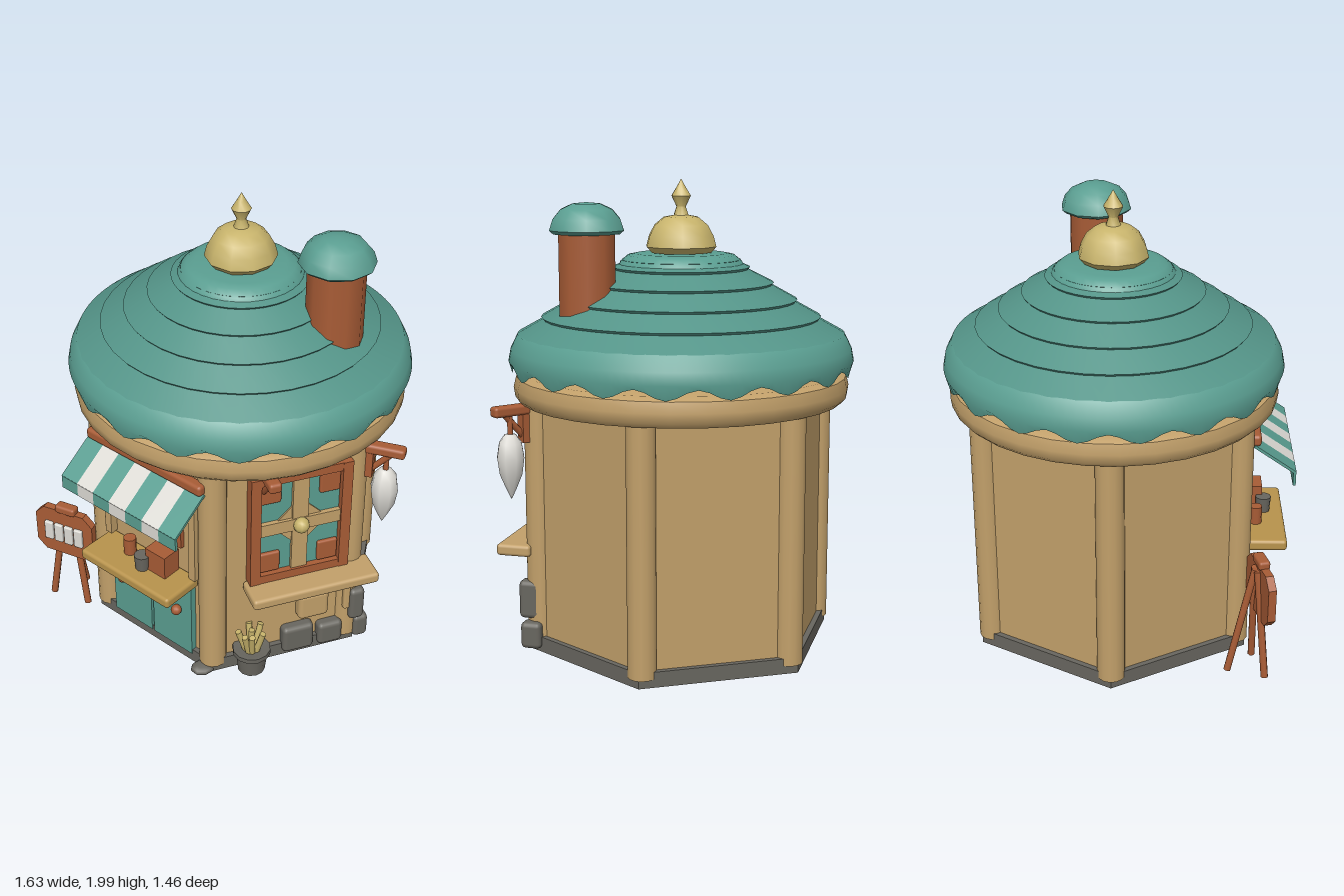
import * as THREE from 'three';
import { toCreasedNormals } from 'three/addons/utils/BufferGeometryUtils.js';
import { RoundedBoxGeometry } from 'three/addons/geometries/RoundedBoxGeometry.js';

const CX = 0.075; // building axis

function mat(name, color, side = THREE.FrontSide) {
  const m = new THREE.MeshStandardMaterial({ color, side });
  m.name = name;
  return m;
}

export function createModel() {
  const root = new THREE.Group();
  root.name = 'hexagonalShop';
  const sand = mat('sandPlaster', 0xc2a06a);
  const teal = mat('teal', 0x5a9e91, THREE.DoubleSide);
  const roofTeal = mat('roofTeal', 0x549488, THREE.DoubleSide);
  const wood = mat('redWood', 0xa85c36);
  const gold = mat('paleGold', 0xc8b46c);
  const stone = mat('greyStone', 0x68665f);
  const white = mat('offWhite', 0xdedcd6);
  const plank = mat('yellowWood', 0xb8934c);

  const add = (parent, name, geo, m, x = 0, y = 0, z = 0) => {
    const mesh = new THREE.Mesh(geo, m);
    mesh.name = name;
    mesh.position.set(x, y, z);
    parent.add(mesh);
    return mesh;
  };
  const group = (parent, name, x = 0, y = 0, z = 0, ry = 0) => {
    const g = new THREE.Group();
    g.name = name;
    g.position.set(x, y, z);
    g.rotation.y = ry;
    parent.add(g);
    return g;
  };
  const box = (p, name, m, w, h, d, x, y, z) => add(p, name, new THREE.BoxGeometry(w, h, d), m, x, y, z);
  const soft = (p, name, m, w, h, d, x, y, z) =>
    add(p, name, new RoundedBoxGeometry(w, h, d, 2, Math.min(w, h, d) * 0.3), m, x, y, z);
  const lathe = (pts, seg, crease = 0.6) =>
    toCreasedNormals(new THREE.LatheGeometry(pts.map(([r, y]) => new THREE.Vector2(r, y)), seg), crease);
  // round rod between two points
  const rod = (p, name, m, a, b, r) => {
    const A = new THREE.Vector3(...a), B = new THREE.Vector3(...b), d = B.clone().sub(A);
    const mesh = add(p, name, new THREE.CylinderGeometry(r, r, d.length(), 8), m);
    mesh.position.copy(A).add(B).multiplyScalar(0.5);
    mesh.quaternion.setFromUnitVectors(new THREE.Vector3(0, 1, 0), d.normalize());
    return mesh;
  };
  // six-sided prism with corners on the x axis
  const hex = (R, h) => toCreasedNormals(new THREE.CylinderGeometry(R, R, h, 6).rotateY(Math.PI / 6 * 3), 0.3);

  // ---- Base, walls, posts, ring beam
  const body = group(root, 'body', CX, 0, 0);
  add(body, 'base', hex(0.672, 0.065), stone, 0, 0.048, 0);
  add(body, 'walls', hex(0.645, 1.1), sand, 0, 0.63, 0);
  for (let i = 0; i < 6; i++) {
    const a = i * Math.PI / 3;
    add(body, 'cornerPost', new THREE.CylinderGeometry(0.06, 0.06, 1.06, 14), sand,
      0.618 * Math.cos(a), 0.58, 0.618 * Math.sin(a));
  }
  add(body, 'ringBeam', lathe([[0, 1.09], [0.6, 1.08], [0.685, 1.08], [0.705, 1.1], [0.711, 1.14],
    [0.7, 1.185], [0.67, 1.2], [0, 1.2]], 32, 0.7), sand);

  // ---- Roof: stepped tiers, crown and scalloped eave
  const roof = group(root, 'roof', CX, 0, 0);
  const tiers = [[0.69, 1.355], [0.59, 1.425], [0.49, 1.495], [0.39, 1.565], [0.29, 1.63], [0.25, 1.66]];
  const steps = [];
  tiers.forEach(([r, y], i) => {
    if (i) steps.push([r - 0.008, y - 0.004]);
    steps.push([r, y + 0.006]);
  });
  add(roof, 'roofTiers', lathe(steps, 36, 0.5), roofTeal);
  add(roof, 'roofCrown', lathe([[0.265, 1.64], [0.255, 1.66], [0.225, 1.685], [0.19, 1.692], [0, 1.692]], 32, 0.9), teal);
  const eave = new THREE.LatheGeometry([[0.715, 1.19], [0.73, 1.25], [0.72, 1.3], [0.69, 1.361], [0.66, 1.37]]
    .map(([r, y]) => new THREE.Vector2(r, y)), 108);
  const ep = eave.attributes.position;
  for (let i = 0; i < ep.count; i++) {
    if (ep.getY(i) > 1.2) continue;
    const a = Math.atan2(ep.getX(i), ep.getZ(i));
    ep.setY(i, 1.19 + 0.042 * (0.5 - 0.5 * Math.cos(18 * a)));
  }
  add(roof, 'scallopedEave', eave, teal);
  add(roof, 'finial', lathe([[0, 1.69], [0.13, 1.695], [0.152, 1.72], [0.14, 1.765], [0.115, 1.81], [0.075, 1.842],
    [0.032, 1.85], [0.02, 1.885], [0.042, 1.93], [0.02, 1.965], [0, 2.0]], 10, 0.8), gold);

  // ---- Chimney
  const chimney = group(root, 'chimney', 0.362, 0, 0.32);
  add(chimney, 'chimneyStack', new THREE.CylinderGeometry(0.12, 0.12, 0.36, 10), wood, 0, 1.62, 0);
  add(chimney, 'chimneyCap', lathe([[0, 1.79], [0.14, 1.785], [0.158, 1.8], [0.143, 1.845], [0.11, 1.883],
    [0.06, 1.906], [0, 1.912]], 10, 0.8), teal);

  // ---- Front window with patterned shutter
  const win = group(root, 'frontWindow', 0.13, 0.757, 0.56);
  box(win, 'panes', teal, 0.38, 0.49, 0.03, 0, 0, 0.005);
  for (const s of [-1, 1]) {
    box(win, 'frameSide', wood, 0.045, 0.55, 0.07, s * 0.2, 0, 0.015);
    box(win, 'frameRail', wood, 0.44, 0.04, 0.065, 0, s * 0.255, 0.015);
    for (const t of [-1, 1]) soft(win, 'cornerBlock', wood, 0.09, 0.1, 0.03, s * 0.13, t * 0.18, 0.02);
  }
  const diamond = new THREE.CylinderGeometry(0.125, 0.125, 0.012, 4).rotateX(Math.PI / 2);
  add(win, 'diamond', diamond, sand, 0, 0, 0.022);
  box(win, 'uprightBar', sand, 0.07, 0.48, 0.03, 0, 0, 0.022);
  box(win, 'crossBar', sand, 0.36, 0.06, 0.03, 0, 0, 0.026);
  add(win, 'windowKnob', new THREE.SphereGeometry(0.035, 10, 8), gold, 0, 0, 0.05);
  soft(root, 'windowSill', sand, 0.57, 0.05, 0.15, 0.175, 0.455, 0.635);

  // ---- Brackets and hanging lantern
  const bracket = (name, x, z, ry) => {
    const g = group(root, name, x, 0, z, ry);
    box(g, 'wallPlate', wood, 0.045, 0.15, 0.03, 0, 1.0, 0.01);
    soft(g, 'arm', wood, 0.055, 0.045, 0.17, 0, 1.065, 0.07);
    rod(g, 'brace', wood, [0, 0.95, 0.01], [0, 1.05, 0.1], 0.014);
  };
  bracket('leftBracket', -0.032, 0.57, 0);
  bracket('rightBracket', 0.43, 0.575, 0.9);
  const lantern = group(root, 'lantern', 0.492, 0, 0.62);
  rod(lantern, 'hanger', wood, [0, 0.95, 0], [0, 1.06, 0], 0.012);
  add(lantern, 'lanternShade', lathe([[0, 0.69], [0.022, 0.735], [0.05, 0.8], [0.06, 0.87], [0.05, 0.93],
    [0.025, 0.965], [0, 0.968]], 8, 1), white);

  // ---- Wall stones: x, y, width, height, material
  for (const [x, y, w, h, m] of [
    [0.21, 0.277, 0.14, 0.135, sand], [0.345, 0.385, 0.085, 0.08, sand], [0.115, 0.41, 0.08, 0.06, stone],
    [0.143, 0.103, 0.145, 0.135, stone], [0.295, 0.09, 0.115, 0.115, stone], [0.365, 0.28, 0.03, 0.13, sand],
  ]) soft(root, 'wallStone', m, w, h, 0.07, x, y, 0.57);
  soft(root, 'cornerStone', stone, 0.07, 0.165, 0.09, 0.41, 0.237, 0.575);
  soft(root, 'cornerStone', stone, 0.07, 0.115, 0.09, 0.44, 0.088, 0.56);
  const pebble = add(root, 'groundStone', new THREE.SphereGeometry(0.055, 8, 6), stone, -0.29, 0.03, 0.56);
  pebble.scale.set(1, 0.4, 0.8);

  // ---- Potted plant
  const pot = group(root, 'pottedPlant', -0.083, 0, 0.612);
  add(pot, 'pot', lathe([[0, 0.018], [0.06, 0.018], [0.07, 0.11], [0.083, 0.112], [0.083, 0.135], [0.065, 0.135], [0, 0.115]], 12), stone);
  for (let i = 0; i < 7; i++) {
    const a = i * 2.4, r = i ? 0.05 : 0;
    rod(pot, 'stalk', gold, [r * 0.4 * Math.cos(a), 0.11, r * 0.4 * Math.sin(a)],
      [r * 1.2 * Math.cos(a), 0.235, r * Math.sin(a)], 0.014);
  }

  // ---- Serving side: local z points out of the wall
  const shop = group(root, 'servingSide', CX, 0, 0, -Math.PI / 3);
  for (const s of [-1, 1]) {
    box(shop, 'hatchJamb', sand, 0.035, 0.5, 0.04, s * 0.245, 0.75, 0.575);
    box(shop, 'cupboardDoor', teal, 0.225, 0.37, 0.03, s * 0.119, 0.245, 0.572);
    add(shop, 'cupboardKnob', new THREE.SphereGeometry(0.024, 10, 8), wood, s * 0.16, 0.29, 0.605);
  }
  soft(shop, 'counter', plank, 0.51, 0.05, 0.2, 0, 0.475, 0.66);
  soft(shop, 'awningBar', wood, 0.64, 0.05, 0.05, 0, 1.015, 0.6);
  const n = 7, w = 0.645 / n;
  for (let i = 0; i < n; i++) {
    const m = i % 2 ? white : teal, x = (i - (n - 1) / 2) * w;
    box(shop, 'awningStripe', m, w, 0.012, 0.213, x, 0.932, 0.684).rotation.x = 0.606;
    box(shop, 'awningValance', m, w, 0.06, 0.012, x, 0.843, 0.768);
  }
  // goods on the counter
  box(shop, 'crate', wood, 0.11, 0.11, 0.09, 0.1, 0.555, 0.62);
  box(shop, 'hangingBoard', wood, 0.06, 0.18, 0.02, 0.14, 0.71, 0.568);
  add(shop, 'jar', new THREE.CylinderGeometry(0.035, 0.03, 0.07, 10), stone, 0.03, 0.535, 0.67);
  add(shop, 'cup', new THREE.CylinderGeometry(0.028, 0.028, 0.08, 10), wood, -0.08, 0.54, 0.63);

  // ---- Tripod sign: local z is the sign's face
  const sign = group(root, 'tripodSign', -0.715, 0, -0.1, -Math.PI / 4);
  const plate = new THREE.Shape();
  [[-0.145, -0.075], [-0.1, -0.12], [0.1, -0.12], [0.145, -0.075], [0.145, 0.075], [0.1, 0.12], [-0.1, 0.12], [-0.145, 0.075]]
    .forEach(([x, y], i) => (i ? plate.lineTo(x, y) : plate.moveTo(x, y)));
  add(sign, 'signBoard', new THREE.ExtrudeGeometry(plate, { depth: 0.035, bevelEnabled: false }), wood, 0, 0.4, -0.018);
  for (let i = 0; i < 4; i++) soft(sign, 'signPanel', white, 0.042, 0.095, 0.02, (i - 1.5) * 0.05, 0.4, 0.022);
  soft(sign, 'signClip', wood, 0.1, 0.04, 0.05, 0.01, 0.53, 0);
  for (const s of [-1, 1]) rod(sign, 'frontLeg', wood, [s * 0.02, 0.5, -0.025], [s * 0.09, 0.012, 0.0], 0.016);
  rod(sign, 'rearLeg', wood, [0, 0.5, -0.03], [0, 0.012, -0.14], 0.016);

  return root;
}
